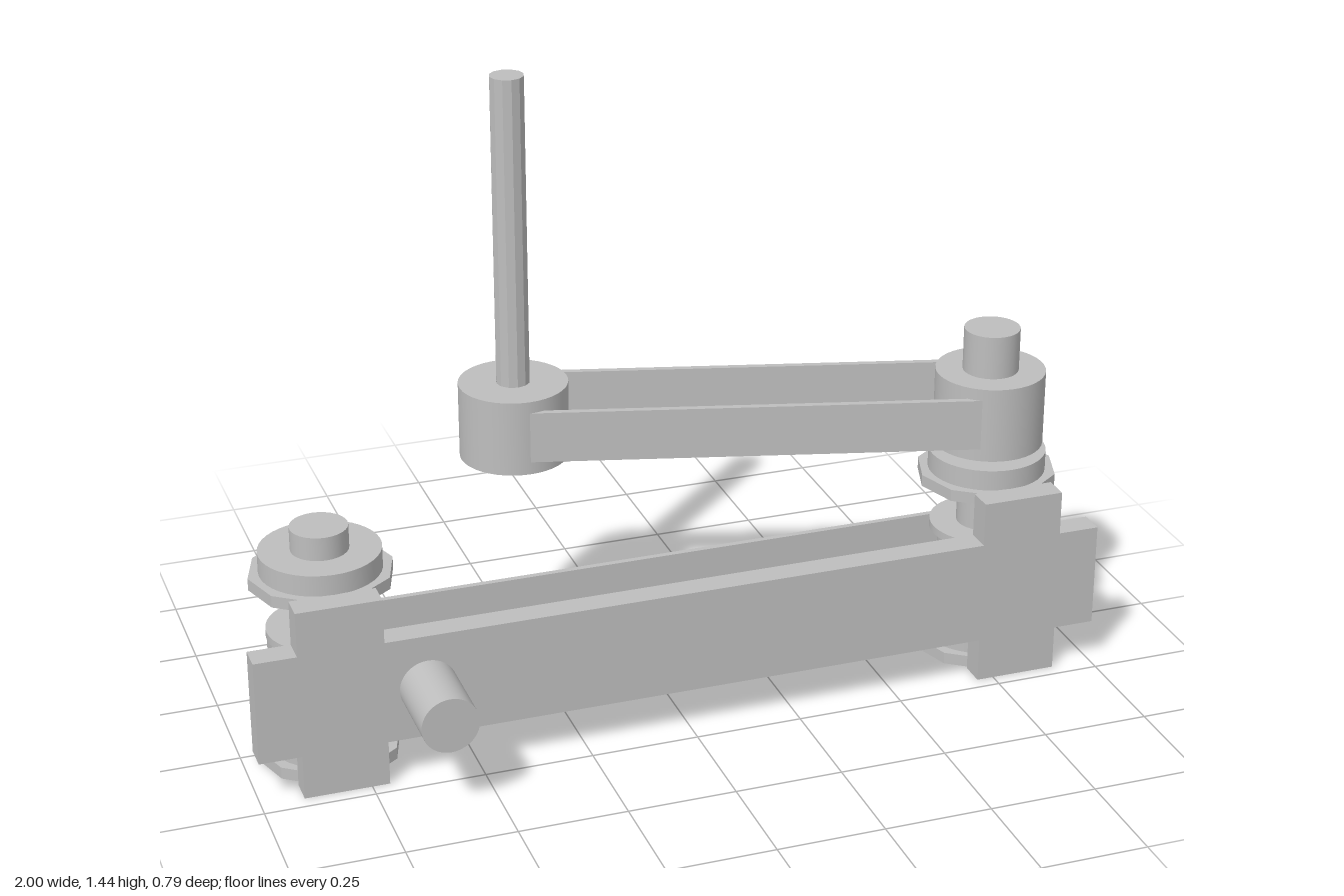
import * as THREE from 'three';

const metal = new THREE.MeshStandardMaterial({ color: 0xbebebe });
metal.name = 'plainGrey';

const SHAFT_X = 0.8, SHAFT_Z = 0.022, ARM_X = -0.267, ARM_Z = -0.27;

function add(parent, name, geometry, x = 0, y = 0, z = 0) {
  const mesh = new THREE.Mesh(geometry, metal);
  mesh.name = name;
  mesh.position.set(x, y, z);
  parent.add(mesh);
  return mesh;
}

// Upright cylinder between two heights; faceted ones start with a corner on +x
function disc(parent, name, r, y0, y1, sides = 40, faceted = false) {
  let g = new THREE.CylinderGeometry(r, r, y1 - y0, sides, 1, false, Math.PI / 2);
  if (faceted) {
    g = g.toNonIndexed();
    g.computeVertexNormals();
  }
  return add(parent, name, g, 0, (y0 + y1) / 2, 0);
}

// Closed loop running round two wheels of equal radius
function loopPoints(length, r, steps) {
  const pts = [];
  for (let end = 0; end < 2; end++) {
    for (let i = 0; i <= steps; i++) {
      const a = -Math.PI / 2 + Math.PI * (end + i / steps);
      pts.push(new THREE.Vector2((end ? 0 : length) + r * Math.cos(a), r * Math.sin(a)));
    }
  }
  return pts;
}

function belt(parent, name, x0, z0, x1, z1, r, thickness, y0, y1) {
  const length = Math.hypot(x1 - x0, z1 - z0);
  const shape = new THREE.Shape(loopPoints(length, r, 5));
  shape.holes.push(new THREE.Path(loopPoints(length, r - thickness, 5)));
  const g = new THREE.ExtrudeGeometry(shape, { depth: y1 - y0, bevelEnabled: false });
  g.rotateX(-Math.PI / 2);
  const mesh = add(parent, name, g, x0, y0, z0);
  mesh.rotation.y = -Math.atan2(z1 - z0, x1 - x0);
}

// Flanged bearing: ten-sided flange below a round housing
function bearing(parent, name, y) {
  const b = new THREE.Group();
  b.name = name;
  b.position.y = y;
  disc(b, 'bearingFlange', 0.163, 0, 0.028, 10, true);
  disc(b, 'bearingHousing', 0.137, 0.026, 0.077);
  parent.add(b);
}

// Shaft with two bearings and a flanged belt wheel
function shaftUnit(name, x, top) {
  const g = new THREE.Group();
  g.name = name;
  g.position.set(x, 0, SHAFT_Z);
  disc(g, 'shaft', 0.065, 0, top, 28);
  bearing(g, 'lowerBearing', 0);
  bearing(g, 'upperBearing', 0.428);
  disc(g, 'wheelHub', 0.108, 0.15, 0.305, 32);
  disc(g, 'wheelLowerRim', 0.128, 0.137, 0.156);
  disc(g, 'wheelUpperRim', 0.128, 0.298, 0.317);
  return g;
}

export function createModel() {
  const model = new THREE.Group();
  model.name = 'beltDrive';

  // Front plate with a tab above and below at each shaft
  const half = [[0.71, 0.105], [0.71, 0], [0.903, 0], [0.903, 0.105], [1, 0.105],
    [1, 0.352], [0.903, 0.352], [0.903, 0.457], [0.71, 0.457], [0.71, 0.352]];
  const outline = [...half, ...half.map(([x, y]) => [-x, y]).reverse()];
  const plate = new THREE.Shape(outline.map(([x, y]) => new THREE.Vector2(x, y)));
  add(model, 'mountingPlate',
    new THREE.ExtrudeGeometry(plate, { depth: 0.06, bevelEnabled: false }), 0, 0, 0.157);

  // Stub on the front of the plate
  const stub = new THREE.CylinderGeometry(0.065, 0.065, 0.185, 40);
  stub.rotateX(Math.PI / 2);
  add(model, 'frontStub', stub, -0.615, 0.227, 0.305);

  // Two upright shafts joined by the lower belt
  const left = shaftUnit('leftShaft', SHAFT_X, 0.808);
  const right = shaftUnit('rightShaft', -SHAFT_X, 0.56);
  disc(left, 'driveDrum', 0.128, 0.525, 0.705);
  model.add(left, right);
  belt(model, 'lowerBelt', -SHAFT_X, SHAFT_Z, SHAFT_X, SHAFT_Z, 0.127, 0.014, 0.164, 0.29);

  // Rear drum, open underneath, with its tall rod
  const rear = new THREE.Group();
  rear.name = 'rearUnit';
  rear.position.set(ARM_X, 0, ARM_Z);
  const ring = new THREE.Shape().absarc(0, 0, 0.127, 0, Math.PI * 2);
  ring.holes.push(new THREE.Path().absarc(0, 0, 0.0385, 0, Math.PI * 2, true));
  const profile = [[0.0385, 0.525], [0.127, 0.525], [0.127, 0.525], [0.127, 0.705],
    [0.127, 0.705], [0.0385, 0.705], [0.0385, 0.705], [0.0385, 0.525]];
  // Each straight run is its own lathe so the rims stay sharp
  for (let i = 0; i < profile.length; i += 2) {
    const run = [profile[i], profile[i + 1]].map(([x, y]) => new THREE.Vector2(x, y));
    add(rear, ['drumBase', 'drumSide', 'drumTop', 'drumBore'][i / 2],
      new THREE.LatheGeometry(run, 40));
  }
  disc(rear, 'tallRod', 0.0395, 0.69, 1.44, 12, true);
  model.add(rear);

  // Slanted upper belt
  belt(model, 'upperBelt', ARM_X, ARM_Z, SHAFT_X, SHAFT_Z, 0.122, 0.015, 0.555, 0.677);

  return model;
}
